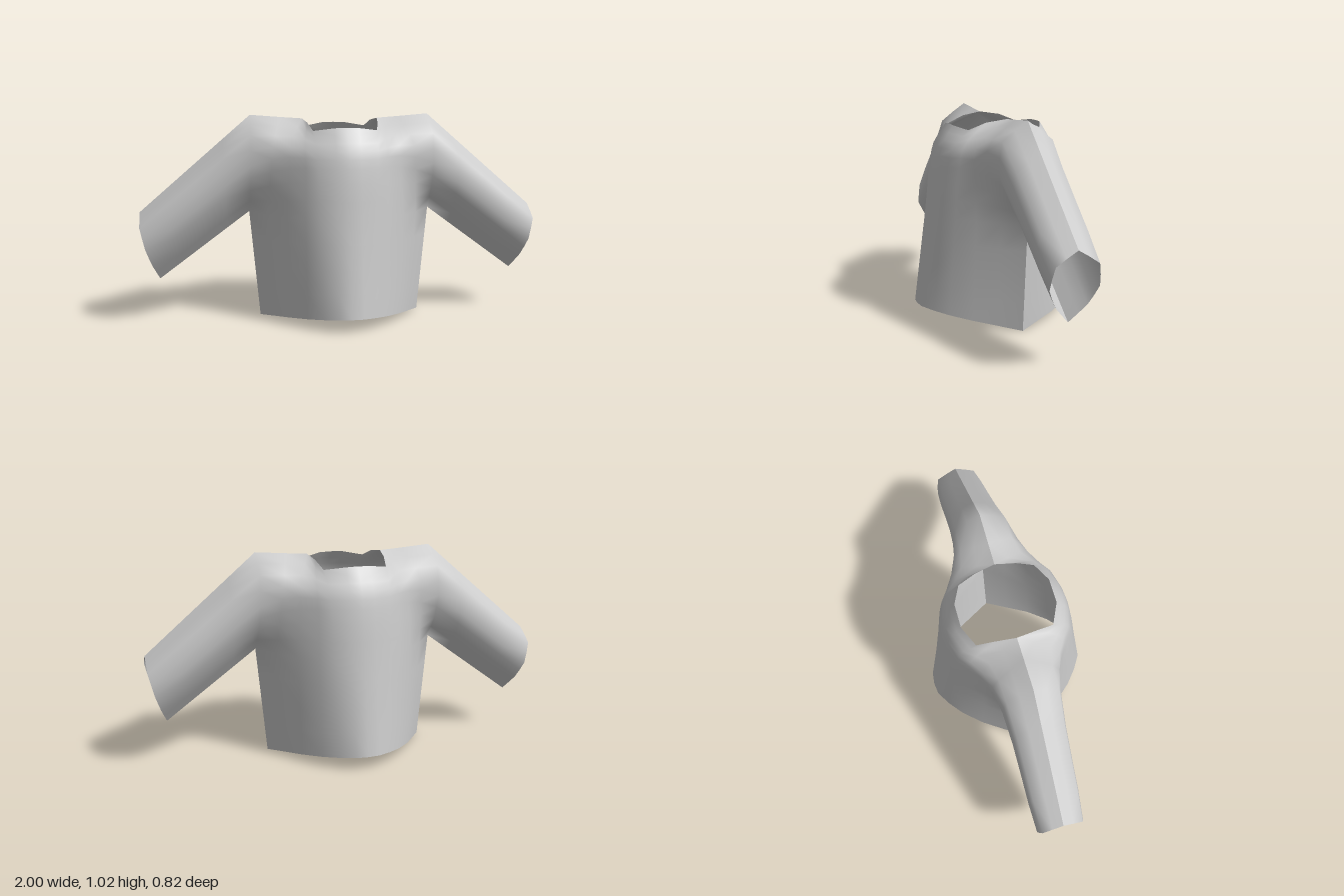
import * as THREE from 'three';

const LOWER = 4;  // rows from hem to underarm
const UPPER = 8;  // rows from underarm to neck or shoulder
const v = (p) => new THREE.Vector3(...p);

// Sleeve half section: height fraction and relative depth, pointed at both seams
const sleeveProfile = new THREE.CatmullRomCurve3(
  [[0, 0, 0], [0.24, 0.62, 0], [0.5, 0.97, 0], [0.81, 0.84, 0], [1, 0, 0]].map(v), false, 'catmullrom', 0.15);

// Torso column: straight from hem to underarm level, then curved up to the top edge
function torsoColumn(hem, ...upper) {
  const points = [];
  for (let i = 0; i < LOWER; i++) points.push(v(hem).lerp(v(upper[0]), i / LOWER));
  const curve = new THREE.CatmullRomCurve3(upper.map(v));
  for (let i = 0; i <= UPPER; i++) points.push(curve.getPoint(i / UPPER));
  return points;
}

// Half ring of a sleeve from lower to upper seam; start is where the seam below it begins
function sleeveColumn(low, high, depth, bow, start) {
  const points = [];
  for (let i = 0; i < LOWER; i++) points.push(start.clone().lerp(low, i / LOWER));
  for (let i = 0; i <= UPPER; i++) {
    const section = sleeveProfile.getPoint(i / UPPER);
    const p = low.clone().lerp(high, section.x);
    p.z = depth * section.y;
    p.x += bow * section.y;
    points.push(p);
  }
  return points;
}

// Columns from the centre line out to the cuff
function halfColumns() {
  const columns = [
    torsoColumn([0, 0.065, 0.41], [0, 0.53, 0.345], [0, 0.76, 0.317], [0, 0.87, 0.29], [0, 0.967, 0.23]),
    torsoColumn([0.06, 0.064, 0.403], [0.06, 0.53, 0.342], [0.06, 0.76, 0.312], [0.06, 0.87, 0.286], [0.06, 0.965, 0.23]),
    torsoColumn([0.13, 0.057, 0.36], [0.14, 0.53, 0.315], [0.145, 0.76, 0.29], [0.15, 0.87, 0.26], [0.157, 0.95, 0.185]),
    torsoColumn([0.2, 0.048, 0.302], [0.205, 0.53, 0.27], [0.2, 0.76, 0.25], [0.2, 0.88, 0.22], [0.175, 0.985, 0.1]),
    torsoColumn([0.28, 0.034, 0.208], [0.29, 0.53, 0.192], [0.275, 0.75, 0.198], [0.265, 0.89, 0.18], [0.19, 1.0, 0]),
    torsoColumn([0.345, 0.017, 0.104], [0.375, 0.53, 0.096], [0.36, 0.73, 0.145], [0.345, 0.89, 0.155], [0.3, 1.008, 0]),
  ];
  const firstSleeve = columns.length;
  const hem = v([0.41, 0, 0]), under = v([0.46, 0.538, 0]), shoulder = v([0.45, 1.02, 0]);
  const cuffLow = v([0.91, 0.206, 0]), cuffHigh = v([1, 0.545, 0]);
  const depths = [0.148, 0.136, 0.132, 0.129, 0.12];
  depths.forEach((depth, i) => {
    const t = i / (depths.length - 1);
    const low = under.clone().lerp(cuffLow, t);
    const high = shoulder.clone().lerp(cuffHigh, t);
    columns.push(sleeveColumn(low, high, depth, 0.018 * t, i === 0 ? hem : low));
  });
  return { columns, firstSleeve };
}

// One panel of cloth spanning cuff to cuff; side is 1 for front, -1 for back
function panelGeometry(side) {
  const { columns, firstSleeve } = halfColumns();
  const mirrored = columns.slice(1).reverse()
    .map((column) => column.map((p) => new THREE.Vector3(-p.x, p.y, p.z)));
  const all = [...mirrored, ...columns];
  const centre = mirrored.length, rows = LOWER + UPPER + 1;
  const positions = [], index = [];
  for (const column of all) for (const p of column) positions.push(p.x, p.y, p.z * side);
  for (let j = 0; j < all.length - 1; j++) {
    const outer = Math.max(Math.abs(j - centre), Math.abs(j + 1 - centre));
    // sleeves have no cloth below the underarm
    for (let i = outer > firstSleeve ? LOWER : 0; i < rows - 1; i++) {
      const a = j * rows + i, b = a + rows, c = b + 1, d = a + 1;
      // keep the diagonals symmetrical about the centre line
      const tris = j < centre ? [a, b, d, b, c, d] : [a, b, c, a, c, d];
      for (let k = 0; k < 6; k += 3) {
        const [p, q, r] = tris.slice(k, k + 3);
        if (side > 0) index.push(p, q, r); else index.push(p, r, q);
      }
    }
  }
  const geometry = new THREE.BufferGeometry();
  geometry.setAttribute('position', new THREE.Float32BufferAttribute(positions, 3));
  geometry.setIndex(index);
  geometry.computeVertexNormals();
  return geometry;
}

export function createModel() {
  const group = new THREE.Group();
  group.name = 'shirt';
  const cloth = new THREE.MeshStandardMaterial({ color: 0xcccccc, side: THREE.DoubleSide });
  cloth.name = 'light grey cloth';
  for (const [name, side] of [['frontPanel', 1], ['backPanel', -1]]) {
    const mesh = new THREE.Mesh(panelGeometry(side), cloth);
    mesh.name = name;
    group.add(mesh);
  }
  return group;
}
